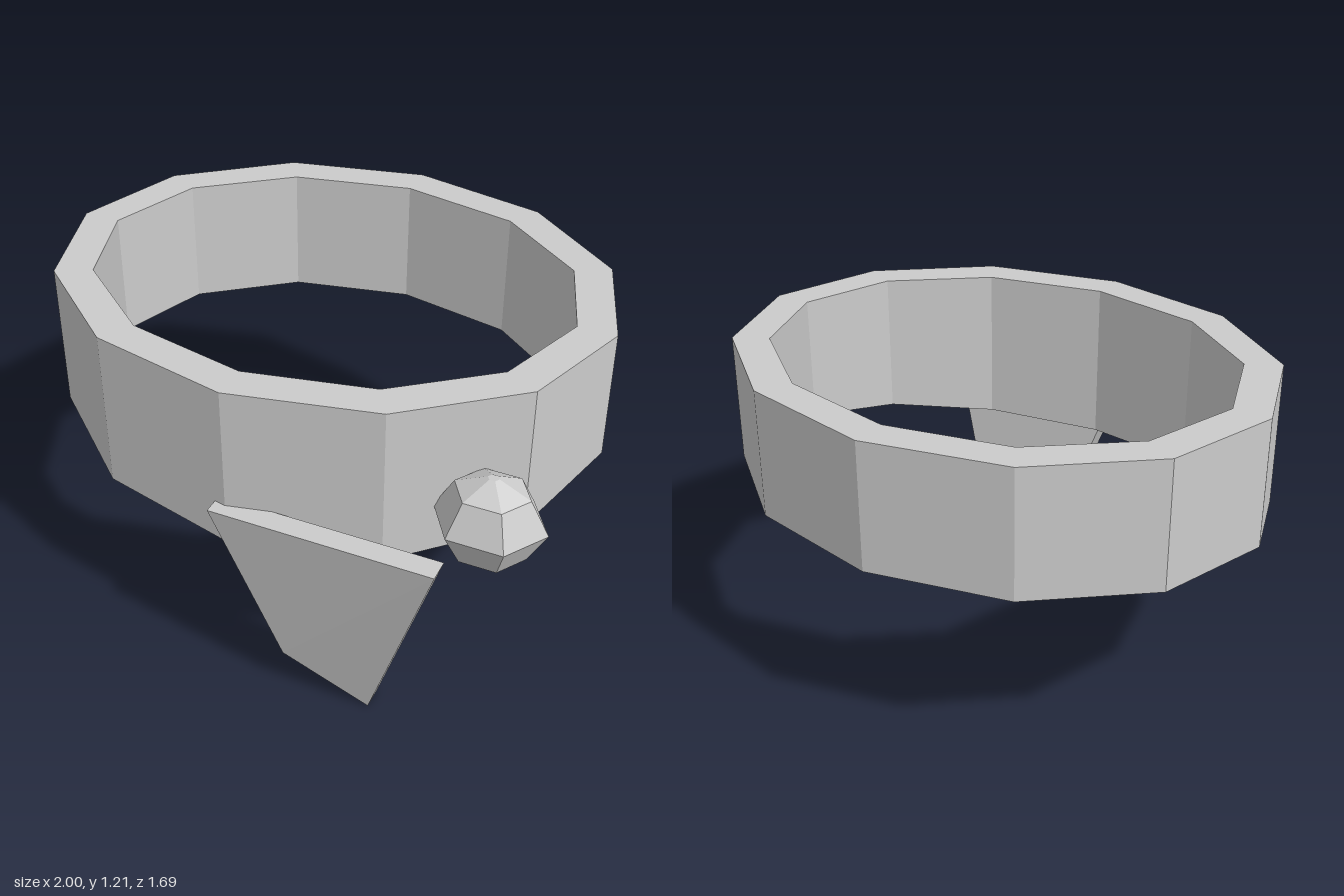
import * as THREE from 'three';

const material = new THREE.MeshStandardMaterial({ color: 0xcccccc, flatShading: true });

// Apply a rule to every vertex of a geometry
function moveVertices(geometry, rule) {
  const pos = geometry.attributes.position;
  const v = new THREE.Vector3();
  for (let i = 0; i < pos.count; i++) {
    rule(v.fromBufferAttribute(pos, i));
    pos.setXYZ(i, v.x, v.y, v.z);
  }
  geometry.computeVertexNormals();
  return geometry;
}

function addPart(group, name, geometry) {
  const mesh = new THREE.Mesh(geometry, material);
  mesh.name = name;
  group.add(mesh);
  return mesh;
}

export function createModel() {
  const group = new THREE.Group();
  group.name = 'collar';

  // Oval twelve-sided band whose lower edge dips toward the front
  const TOP = 1.21, BOTTOM = 0.745, OUTER = 1, INNER = 0.865;
  const profile = [
    [INNER, BOTTOM], [OUTER, BOTTOM], [OUTER, TOP], [INNER, TOP], [INNER, BOTTOM],
  ].map(([r, y]) => new THREE.Vector2(r, y));
  const band = moveVertices(new THREE.LatheGeometry(profile, 12), (v) => {
    const r = Math.hypot(v.x, v.z);
    const forward = v.z / r;
    if (v.y < 1) v.y -= 0.12 * Math.max(0, forward);
    v.z = forward * (r > 0.93 ? 0.82 : 0.69) - 0.027;
  });
  addPart(group, 'band', band);

  // Six-sided faceted bead beside the tag
  const beadProfile = [
    [0, -1], [0.1, -1], [0.66, -0.7], [1, 0], [0.66, 0.7], [0.1, 1], [0, 1],
  ].map(([r, y]) => new THREE.Vector2(r, y));
  const beadGeometry = new THREE.LatheGeometry(beadProfile, 6, Math.PI / 2);
  beadGeometry.scale(0.188, 0.165, 0.168);
  addPart(group, 'bead', beadGeometry).position.set(0.808, 0.828, 0.567);

  // Hanging tag: a box bent into a slanted, tapered plate
  const corners = {
    topLeft: [0.735, 0.785, 0.845],
    topRight: [-0.04, 0.775, 0.838],
    bottomLeft: [0.475, 0, 0.715],
    bottomRight: [0.175, 0.165, 0.757],
  };
  const tag = moveVertices(new THREE.BoxGeometry(1, 1, 1), (v) => {
    const key = (v.y > 0 ? 'top' : 'bottom') + (v.x > 0 ? 'Left' : 'Right');
    const [x, y, z] = corners[key];
    v.set(x, y, v.z > 0 ? z : z - 0.08);
  });
  addPart(group, 'tag', tag);

  return group;
}
